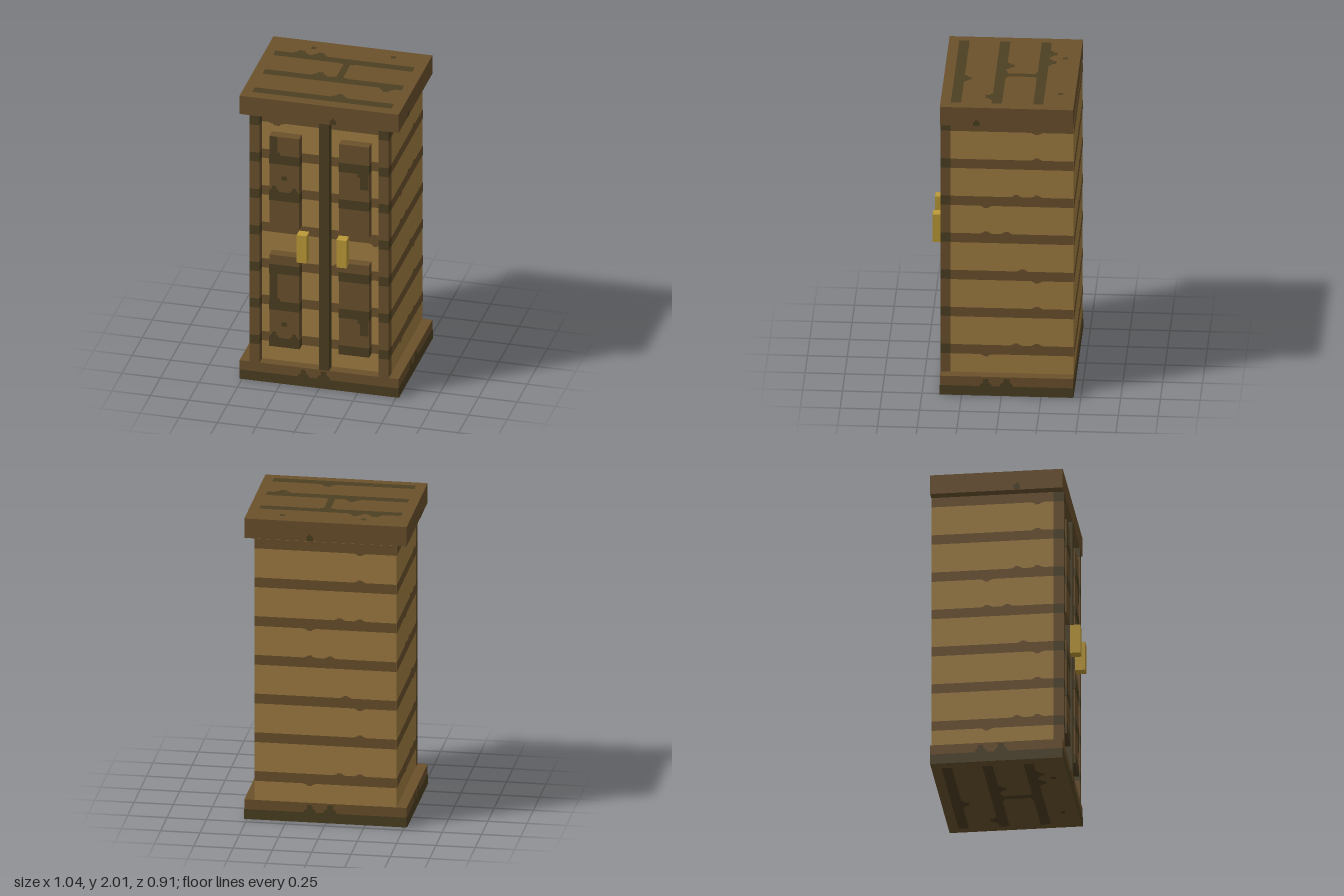
import * as THREE from 'three';

const P = 2 / 31; // one modelling unit: the cabinet is 31 units tall
const LIFT = 0.003; // height of painted plates above a surface

const material = (name, color) => {
  const m = new THREE.MeshStandardMaterial({ color });
  m.name = name;
  return m;
};

export function createModel() {
  const root = new THREE.Group();
  root.name = 'cabinet';
  const light = material('light wood', 0xa07d41);
  const mid = material('brown wood', 0x6b512c);
  const dark = material('dark wood', 0x4d4022);
  const gold = material('brass', 0xbd9a38);

  // Box given by its corner limits in units
  function box(name, mat, [x0, x1], [y0, y1], [z0, z1], grow = 0) {
    const g = new THREE.BoxGeometry((x1 - x0) * P + grow, (y1 - y0) * P + grow * 0.02, (z1 - z0) * P + grow);
    const mesh = new THREE.Mesh(g, mat);
    mesh.name = name;
    mesh.position.set((x0 + x1) / 2 * P, (y0 + y1) / 2 * P, (z0 + z1) / 2 * P);
    root.add(mesh);
    return mesh;
  }

  // A flat drawing plane lying just above a surface
  function face(name, position, rx, ry) {
    const g = new THREE.Group();
    g.name = name;
    g.position.set(...position);
    g.rotation.set(rx, ry, 0);
    root.add(g);
    return g;
  }

  // Grain stripe with stepped bumps [centre, half width, height] on its edges
  function stripe(parent, name, mat, x0, x1, y0, y1, up = [], down = []) {
    const pts = [[x0, y0]];
    const bump = ([c, w, h], y, dir, sign) => pts.push(
      [c - dir * w, y], [c - dir * w * 0.75, y + sign * h * 0.4], [c - dir * w * 0.45, y + sign * h * 0.5],
      [c - dir * w * 0.4, y + sign * h], [c + dir * w * 0.4, y + sign * h], [c + dir * w * 0.45, y + sign * h * 0.5],
      [c + dir * w * 0.75, y + sign * h * 0.4], [c + dir * w, y]);
    [...down].sort((a, b) => a[0] - b[0]).forEach(b => bump(b, y0, 1, -1));
    pts.push([x1, y0], [x1, y1]);
    [...up].sort((a, b) => b[0] - a[0]).forEach(b => bump(b, y1, -1, 1));
    pts.push([x0, y1]);
    const shape = new THREE.Shape(pts.map(p => new THREE.Vector2(...p)));
    const mesh = new THREE.Mesh(new THREE.ShapeGeometry(shape), mat);
    mesh.name = name;
    parent.add(mesh);
  }

  // Main volumes
  box('body', light, [-7, 7], [2, 29], [-7, 5]);
  box('topSlab', mid, [-8, 8], [29, 31], [-7, 6]);
  box('baseUpper', mid, [-8, 8], [1, 2], [-7, 6]);
  box('baseLower', dark, [-8, 8], [0, 1], [-7, 6]);
  const underside = new THREE.Mesh(new THREE.PlaneGeometry(16 * P, 13 * P), mid);
  underside.name = 'underside';
  underside.rotation.x = Math.PI / 2;
  underside.position.set(0, -0.0005, -0.5 * P);
  root.add(underside);

  // Plank seams round the body; the pattern repeats every four rows
  const small = u => [u, 0.035, 0.015];
  const rows = [
    { up: [0.03, -0.1], down: [] },
    { up: [0.09, 0.22], down: [-0.1] },
    { up: [0.22], down: [] },
    { up: [0.13], down: [0.22] },
  ];
  const walls = [
    ['rightSeams', [7 * P + LIFT, 0, -P], Math.PI / 2, 6 * P],
    ['leftSeams', [-7 * P - LIFT, 0, -P], -Math.PI / 2, 6 * P],
    ['backSeams', [0, 0, -7 * P - LIFT], Math.PI, 7 * P],
  ];
  for (const [name, pos, ry, half] of walls) {
    const f = face(name, pos, 0, ry);
    const shift = name === 'rightSeams' ? -P : name === 'leftSeams' ? P : 0;
    for (let k = 1; k <= 7; k++) {
      const r = rows[k % 4];
      stripe(f, 'seam', mid, -half, half, 4 * k * P, (4 * k + 1) * P,
        k === 7 ? [] : r.up.map(u => small(u + shift)), r.down.map(u => small(u + shift)));
    }
  }

  // Seams across the doors
  const doors = face('doorSeams', [0, 0, 5 * P + LIFT], 0, 0);
  for (let k = 1; k <= 7; k++) {
    stripe(doors, 'seam', mid, -6 * P, 6 * P, 4 * k * P, (4 * k + 1) * P,
      k === 3 ? [[0.1, 0.04, 0.015]] : [],
      k === 7 ? [[-0.29, 0.05, 0.02]] : k === 4 ? [[0.35, 0.035, 0.02]] : []);
  }

  // Corner posts in alternating wood, and the centre post
  for (const x of [-7, 6]) {
    for (let k = 0; k < 7; k++) {
      box('postSection', mid, [x, x + 1], [k ? 4 * k + 1 : 2, 4 * k + 4], [5, 6]);
      box('postBand', dark, [x, x + 1], [4 * k + 4, 4 * k + 5], [5, 6]);
    }
  }
  box('centrePost', dark, [0, 1], [2, 29], [5, 6]);

  // Raised door panels with wrapped grain bands, and handles
  const panelFace = face('panelGrain', [0, 0, 6 * P + LIFT], 0, 0);
  for (const x of [-5, 2]) {
    for (const [y0, y1, bands] of [[4, 14, [4, 8, 12]], [17, 27, [20, 24]]]) {
      box('doorPanel', mid, [x, x + 3], [y0, y1], [5, 6]);
      for (const b of bands) box('panelBand', dark, [x, x + 3], [b, b + 1], [5, 6], LIFT * 2);
      const base = bands[0];
      if (x < 0) {
        const top = Math.min(base + 8, y1);
        stripe(panelFace, 'grain', dark, -5 * P, -4.15 * P, (base + 5) * P, top * P);
        stripe(panelFace, 'grain', dark, -4.15 * P, -3.9 * P, (base + 5) * P, (base + 5.3) * P);
        stripe(panelFace, 'knot', dark, -0.242, -0.208, (base + 2.3) * P, (base + 2.75) * P);
        stripe(panelFace, 'grain', dark, -5 * P, -2 * P, (base + 0.9) * P, (base + 1) * P,
          [[-0.29, 0.032, 0.04], [-0.16, 0.03, 0.035]]);
      } else {
        stripe(panelFace, 'grain', dark, 4.15 * P, 5 * P, (base + 2.3) * P, (base + 4) * P);
        stripe(panelFace, 'grain', dark, 3.9 * P, 4.15 * P, (base + 3.6) * P, (base + 4) * P);
      }
    }
  }
  for (const x of [-2, 2]) box('handle', gold, [x, x + 1], [14, 17], [6, 7]);

  // Knots and grain on the edges of the top slab and base
  const edges = [
    ['frontEdge', [0, 0, 6 * P + LIFT], 0, 8 * P, 0.09],
    ['backEdge', [0, 0, -7 * P - LIFT], Math.PI, 8 * P, -0.1],
    ['rightEdge', [8 * P + LIFT, 0, -0.5 * P], Math.PI / 2, 6.5 * P, -0.19],
    ['leftEdge', [-8 * P - LIFT, 0, -0.5 * P], -Math.PI / 2, 6.5 * P, 0.13],
  ];
  for (const [name, pos, ry, half, knot] of edges) {
    const f = face(name, pos, 0, ry);
    stripe(f, 'knot', dark, knot - 0.02, knot + 0.02, 29.05 * P, 29.5 * P, [[knot, 0.015, 0.015]]);
    const shift = name === 'rightEdge' ? -0.03 : 0;
    stripe(f, 'baseGrain', dark, -half, half, 0, P,
      [[-0.1 + shift, 0.04, 0.05], [0.03 + shift, 0.045, 0.055]]);
  }

  // Grain of the top and the underside
  const flats = [
    ['topGrain', [0, 2 + LIFT, 0], -Math.PI / 2, 1],
    ['undersideGrain', [0, -LIFT, -P], Math.PI / 2, 1],
  ];
  for (const [name, pos, rx] of flats) {
    const f = face(name, pos, rx, 0);
    const tall = u => [u, 0.05, 0.045];
    stripe(f, 'grain', dark, -7 * P, 7 * P, 0.197, 0.26, [tall(-0.29), tall(-0.165)]);
    stripe(f, 'grain', dark, -7 * P, 7 * P, -0.065, 0, [tall(-0.1)], [tall(0.355)]);
    stripe(f, 'grain', dark, -7 * P, 7 * P, -0.322, -0.257, [tall(0.095)]);
    stripe(f, 'crossGrain', dark, 0.008, 0.052, 0, 0.197);
    for (const y of [0, 0.187]) stripe(f, 'crossGrain', dark, -0.015, 0.075, y, y + 0.01);
    for (const x of [-0.228, 0.288]) stripe(f, 'knot', dark, x - 0.016, x + 0.016, 0.342, 0.374);
  }

  return root;
}
